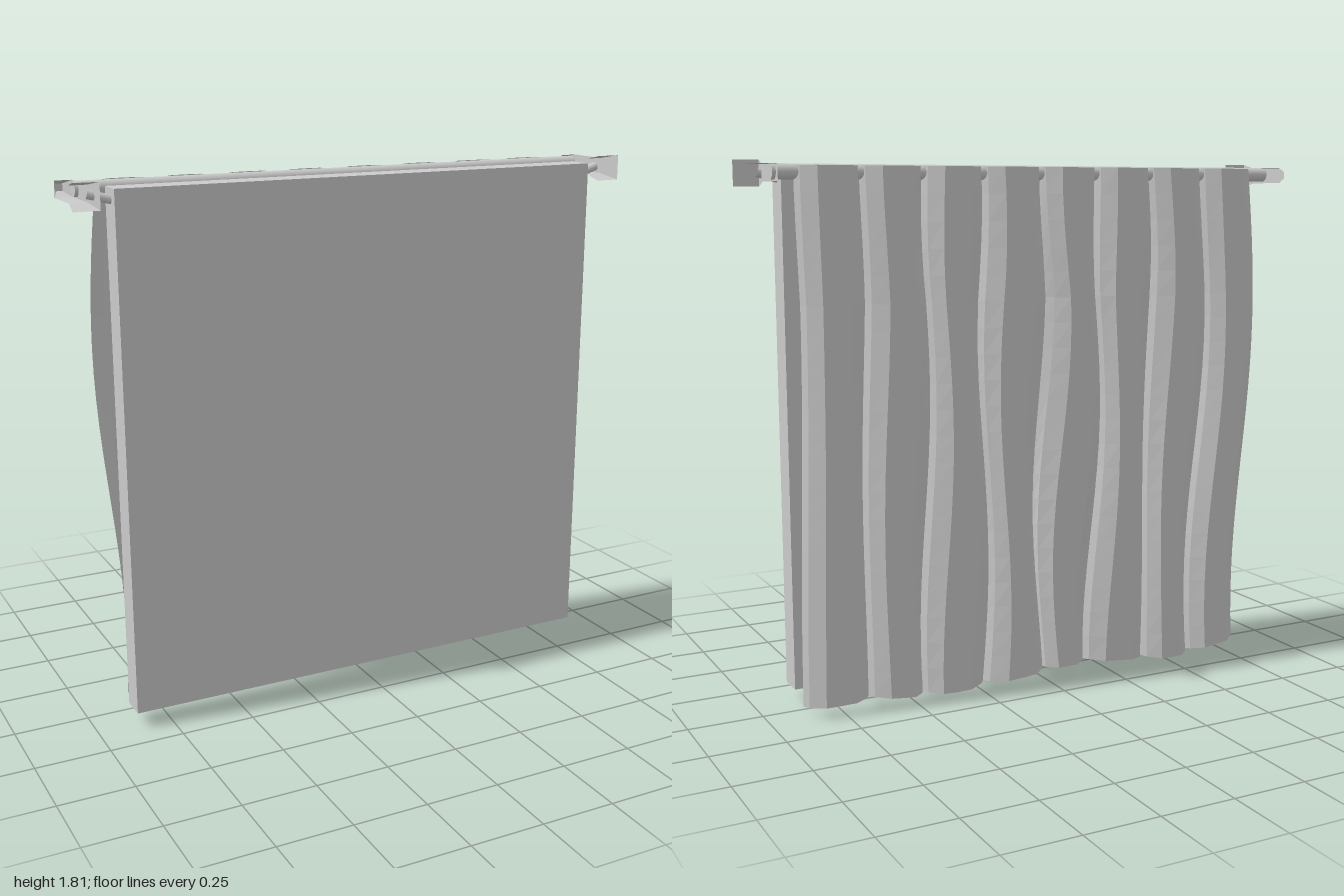
import * as THREE from 'three';

const mat = (flat = false, side = THREE.FrontSide) =>
  new THREE.MeshStandardMaterial({ color: 0xcccccc, flatShading: flat, side });

function add(parent, name, geometry, material, x = 0, y = 0, z = 0) {
  const mesh = new THREE.Mesh(geometry, material);
  mesh.name = name;
  mesh.position.set(x, y, z);
  parent.add(mesh);
  return mesh;
}

// Square-section bar along z, from [z, half width, half height] stations
function taperedBar(stations) {
  const pos = [], idx = [];
  for (const [z, w, h] of stations) pos.push(-w, -h, z, w, -h, z, w, h, z, -w, h, z);
  const last = (stations.length - 1) * 4;
  for (let s = 0; s < last; s += 4) {
    for (let i = 0; i < 4; i++) {
      const a = s + i, b = s + (i + 1) % 4;
      idx.push(a, a + 4, b, b, a + 4, b + 4);
    }
  }
  idx.push(0, 1, 2, 0, 2, 3, last, last + 2, last + 1, last, last + 3, last + 2);
  const g = new THREE.BufferGeometry();
  g.setAttribute('position', new THREE.Float32BufferAttribute(pos, 3));
  g.setIndex(idx);
  g.computeVertexNormals();
  return g;
}

// Rectangular casement with two panels set back from the inner side
function buildWindow() {
  const group = new THREE.Group();
  group.name = 'window';
  const shape = new THREE.Shape();
  shape.moveTo(-0.87, 0.053).lineTo(0.87, 0.053).lineTo(0.87, 1.79).lineTo(-0.87, 1.79).closePath();
  for (const [x0, x1] of [[-0.80, -0.11], [0.11, 0.80]]) {
    const hole = new THREE.Path();
    hole.moveTo(x0, 0.123).lineTo(x0, 1.72).lineTo(x1, 1.72).lineTo(x1, 0.123).closePath();
    shape.holes.push(hole);
  }
  const frame = new THREE.ExtrudeGeometry(shape, { depth: 0.05, bevelEnabled: false });
  add(group, 'windowFrame', frame, mat(true), 0, 0, 0.055);
  add(group, 'windowPanel', new THREE.BoxGeometry(1.74, 1.737, 0.04), mat(true), 0, 0.9215, 0.125);

  // Bulb-shaped knobs pointing into the room
  const profile = [[0.036, 0], [0.041, 0.02], [0.04, 0.04], [0.032, 0.06], [0.02, 0.085], [0.012, 0.1], [0, 0.108]]
    .map(([r, y]) => new THREE.Vector2(r, y));
  for (const s of [-1, 1]) {
    const knob = add(group, 'knob', new THREE.LatheGeometry(profile, 20), mat(), s * 0.062, 0.92, 0.057);
    knob.rotation.x = -Math.PI / 2;
  }
  return group;
}

// Rod with end brackets and the pegs that join them to the window
function buildRail() {
  const group = new THREE.Group();
  group.name = 'curtainRail';
  const rod = add(group, 'rod', new THREE.CylinderGeometry(0.025, 0.025, 1.88, 20), mat(), 0, 1.773, -0.053);
  rod.rotation.z = Math.PI / 2;
  const bracket = taperedBar([
    [-0.145, 0.011, 0.012], [-0.095, 0.029, 0.027], [0.06, 0.029, 0.027], [0.145, 0.043, 0.043],
  ]);
  for (const s of [-1, 1]) {
    add(group, 'bracket', bracket, mat(true), s * 0.957, 1.77, 0);
    const path = new THREE.LineCurve3(
      new THREE.Vector3(s * 0.86, 1.752, 0.103), new THREE.Vector3(s * 0.94, 1.772, 0.09));
    add(group, 'peg', new THREE.TubeGeometry(path, 1, 0.015, 10), mat());
  }
  return group;
}

// Curtain of eight scalloped folds that drift sideways as they fall
function buildCurtain() {
  const folds = 8, rows = 20;
  const section = [[0, -0.058], [0.06, -0.082], [0.27, -0.119], [0.5, -0.122], [0.73, -0.119], [0.94, -0.082]];
  const cols = folds * section.length;
  const hem = x => 0.024 + 0.012 * Math.cos(x * 7.2 + 0.9) - 0.02 * Math.exp(-(((x + 0.55) / 0.14) ** 2));

  // Sideways drift at height t (0 hem, 1 top) for fold position f
  const drift = (f, t) => {
    const fall = 1 - t;
    const edge = f < 0.5 ? -0.036 * Math.sin(fall * 5.3) * (1 - f) ** 2 : 0;
    const sway = 0.024 * Math.sin(fall * 7 + f * 19) * Math.sin(Math.PI * f);
    const flare = 0.012 * f * f * Math.sin((fall - 0.63) * 4.5);
    return edge + (sway + flare) * Math.min(1, fall * 4);
  };

  const pos = [], idx = [];
  for (let r = 0; r <= rows; r++) {
    const t = r / rows;
    for (let c = 0; c <= cols; c++) {
      const k = Math.floor(c / section.length);
      const [u, z] = section[c % section.length];
      const f = (k + u) / folds;
      const x = -0.867 + 1.734 * f;
      const low = Math.max(0, hem(x));
      pos.push(x + drift(f, t), low + (1.793 - low) * t, z);
      if (r < rows && c < cols) {
        const a = r * (cols + 1) + c, b = a + cols + 1;
        idx.push(a, b, a + 1, a + 1, b, b + 1);
      }
    }
  }
  const g = new THREE.BufferGeometry();
  g.setAttribute('position', new THREE.Float32BufferAttribute(pos, 3));
  g.setIndex(idx);
  g.computeVertexNormals();
  const group = new THREE.Group();
  add(group, 'curtain', g, mat(true, THREE.DoubleSide));
  group.name = 'curtainCloth';
  return group;
}

export function createModel() {
  const model = new THREE.Group();
  model.name = 'curtainedWindow';
  model.add(buildWindow(), buildRail(), buildCurtain());
  return model;
}
